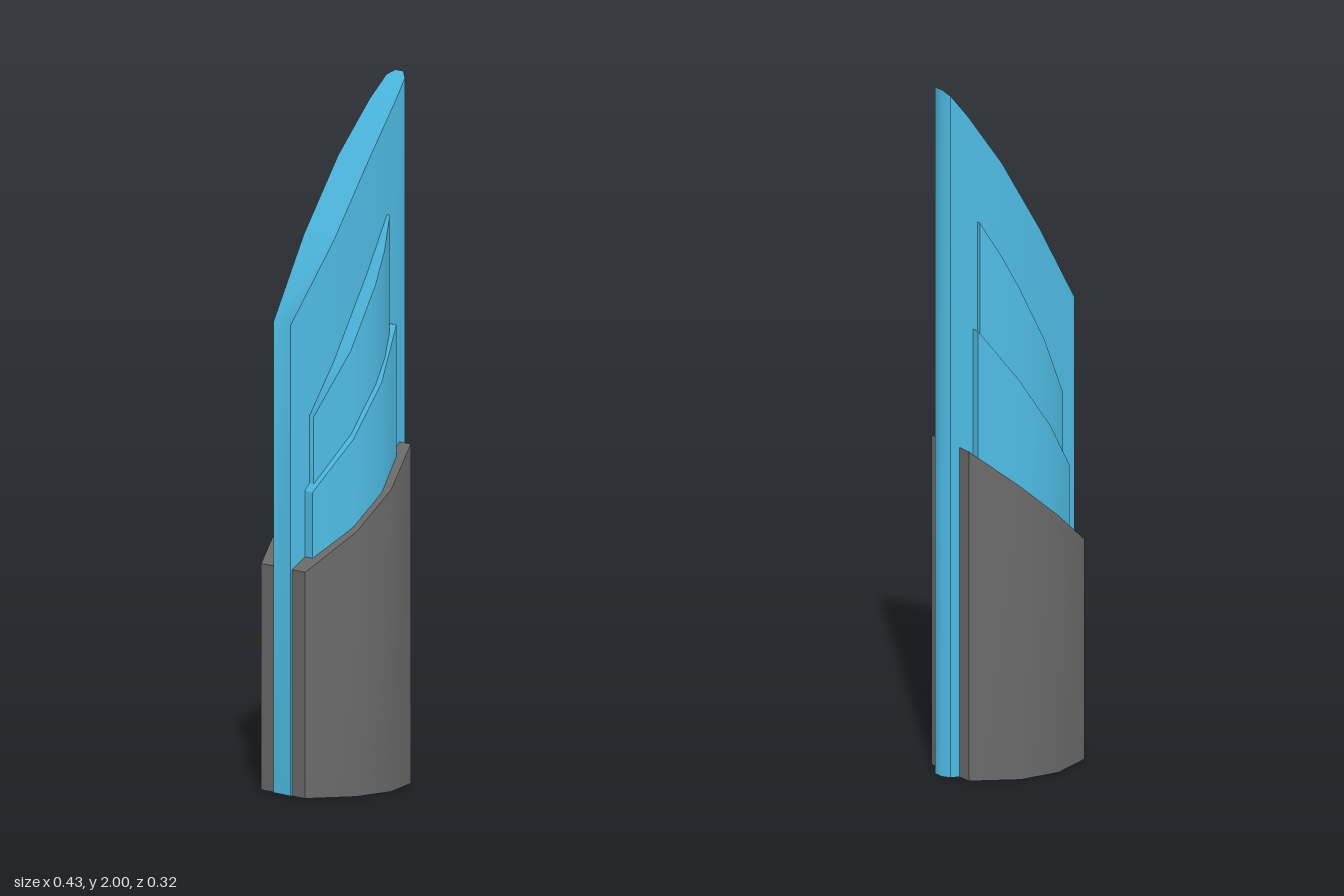
import * as THREE from 'three';
import { toCreasedNormals } from 'three/addons/utils/BufferGeometryUtils.js';

// Open-bottomed shell mirrored in z; each station is [x, half depth, roof height]
function slantedShell(stations) {
  const pos = [];
  const quad = (a, b, c, d) => pos.push(...a, ...b, ...c, ...a, ...c, ...d);
  const base = ([x, z], s) => [x, 0, s * z];
  const roof = ([x, z, y], s) => [x, y, s * z];
  for (let i = 0; i < stations.length - 1; i++) {
    const p = stations[i], q = stations[i + 1];
    quad(base(p, 1), base(q, 1), roof(q, 1), roof(p, 1)); // front wall
    quad(base(q, -1), base(p, -1), roof(p, -1), roof(q, -1)); // back wall
    quad(roof(p, -1), roof(p, 1), roof(q, 1), roof(q, -1)); // sloping roof
  }
  const first = stations[0], last = stations[stations.length - 1];
  quad(base(first, -1), base(first, 1), roof(first, 1), roof(first, -1));
  quad(base(last, 1), base(last, -1), roof(last, -1), roof(last, 1));
  const geo = new THREE.BufferGeometry();
  geo.setAttribute('position', new THREE.Float32BufferAttribute(pos, 3));
  return toCreasedNormals(geo, 0.6);
}

// Adds a straight sloping roof line to a list of [x, half depth]
function slope(outline, yLeft, yRight) {
  const x0 = outline[0][0], x1 = outline[outline.length - 1][0];
  return outline.map(([x, z]) => [x, z, yLeft + (yRight - yLeft) * (x - x0) / (x1 - x0)]);
}

export function createModel() {
  const group = new THREE.Group();
  group.name = 'tower';
  const glass = new THREE.MeshStandardMaterial({ color: 0x4fbbe4, side: THREE.DoubleSide });
  const stone = new THREE.MeshStandardMaterial({ color: 0x6a6a6a, side: THREE.DoubleSide });
  const add = (name, stations, material) => {
    const mesh = new THREE.Mesh(slantedShell(stations), material);
    mesh.name = name;
    group.add(mesh);
  };

  // Tall slim blade
  add('coreBlade', [
    [-0.215, 0.037, 1.33], [-0.08, 0.065, 1.56], [0.045, 0.065, 1.77],
    [0.15, 0.053, 1.92], [0.2, 0.04, 1.985], [0.214, 0.017, 2],
  ], glass);

  // Stepped glass tiers around the blade
  add('upperTier', slope([
    [-0.156, 0.068], [-0.062, 0.117], [0.027, 0.117], [0.075, 0.101], [0.121, 0.068],
  ], 1.07, 1.61), glass);
  add('lowerTier', slope([
    [-0.17, 0.08], [-0.07, 0.136], [0.035, 0.136], [0.135, 0.08],
  ], 0.86, 1.3), glass);

  // Wide dark base
  add('baseTier', slope([
    [-0.21, 0.095], [-0.08, 0.162], [0.047, 0.162], [0.175, 0.095],
  ], 0.64, 0.96), stone);

  return group;
}
